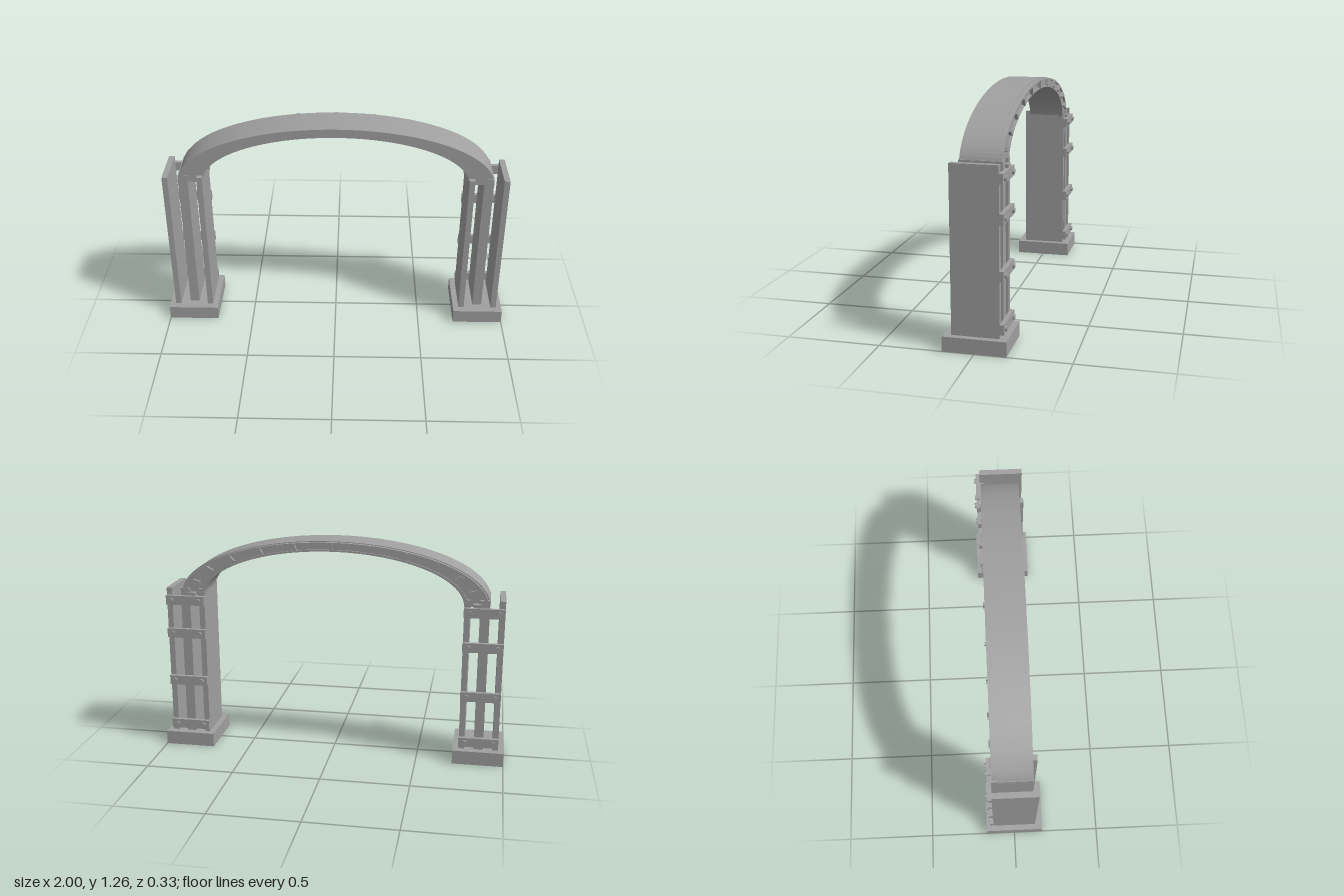
import * as THREE from 'three';

const CENTRE_Y = 0.92; // springing line of the arch

export function createModel() {
  const group = new THREE.Group();
  const grey = new THREE.MeshStandardMaterial({ color: 0xa0a0a0 });
  grey.name = 'stone grey';

  const add = (name, geometry, x, y, z, parent = group) => {
    const mesh = new THREE.Mesh(geometry, grey);
    mesh.name = name;
    mesh.position.set(x, y, z);
    parent.add(mesh);
    return mesh;
  };
  // Box given by its limits on each axis
  const box = (name, x0, x1, y0, y1, z0, z1, parent) =>
    add(name, new THREE.BoxGeometry(x1 - x0, y1 - y0, z1 - z0),
      (x0 + x1) / 2, (y0 + y1) / 2, (z0 + z1) / 2, parent);

  // Band between two half ellipses, extruded from z0 to z1
  const archBand = (name, outer, inner, z0, z1) => {
    const steps = 56;
    const points = [];
    const arc = ([rx, ry], reverse) => {
      for (let i = 0; i <= steps; i++) {
        const t = Math.PI * (reverse ? steps - i : i) / steps;
        points.push(new THREE.Vector2(rx * Math.cos(t), CENTRE_Y + ry * Math.sin(t)));
      }
    };
    arc(outer, false);
    arc(inner, true);
    const geometry = new THREE.ExtrudeGeometry(new THREE.Shape(points), { depth: z1 - z0, bevelEnabled: false });
    add(name, geometry, 0, 0, z0);
  };

  // Arch with a recessed, rimmed back
  archBand('archBody', [0.885, 0.336], [0.745, 0.286], -0.095, 0.097);
  archBand('archBackPanel', [0.87, 0.326], [0.75, 0.288], -0.11, -0.094);
  archBand('archOuterRim', [0.877, 0.332], [0.857, 0.322], -0.12, -0.094);
  archBand('archInnerRim', [0.762, 0.292], [0.741, 0.282], -0.12, -0.094);

  // Radial cleats along the back of the arch
  for (let i = 0; i <= 12; i++) {
    const t = i * Math.PI / 12;
    const end = i === 0 || i === 12;
    const depth = end ? 0.04 : 0.028;
    const cleat = add('archCleat', new THREE.BoxGeometry(0.045, 0.018, depth),
      0.815 * Math.cos(t), CENTRE_Y + 0.31 * Math.sin(t) + (end ? 0.01 : 0), -0.1 - depth / 2);
    cleat.rotation.z = t;
  }

  // Pillars, mirrored by position
  for (const side of [-1, 1]) {
    const pillar = new THREE.Group();
    pillar.name = side > 0 ? 'leftPillar' : 'rightPillar';
    group.add(pillar);
    const part = (name, x0, x1, ...limits) =>
      box(name, Math.min(side * x0, side * x1), Math.max(side * x0, side * x1), ...limits, pillar);

    part('base', 0.71, 1, 0, 0.08, -0.167, 0.167);
    part('outerPlank', 0.936, 0.968, 0.08, 0.96, -0.125, 0.125);
    part('middlePlank', 0.829, 0.883, 0.08, 0.96, -0.124, 0.1);
    part('innerPlank', 0.743, 0.775, 0.08, 0.96, -0.125, 0.125);

    // Bolted cross straps on the back
    for (const y of [0.127, 0.403, 0.693, 0.891]) {
      part('strap', 0.741, 0.968, y - 0.027, y + 0.027, -0.147, -0.124);
      for (const x of [0.775, 0.936]) {
        const bolt = add('bolt', new THREE.CylinderGeometry(0.014, 0.014, 0.014, 12), side * x, y, -0.151, pillar);
        bolt.rotation.x = Math.PI / 2;
      }
    }
  }
  return group;
}
